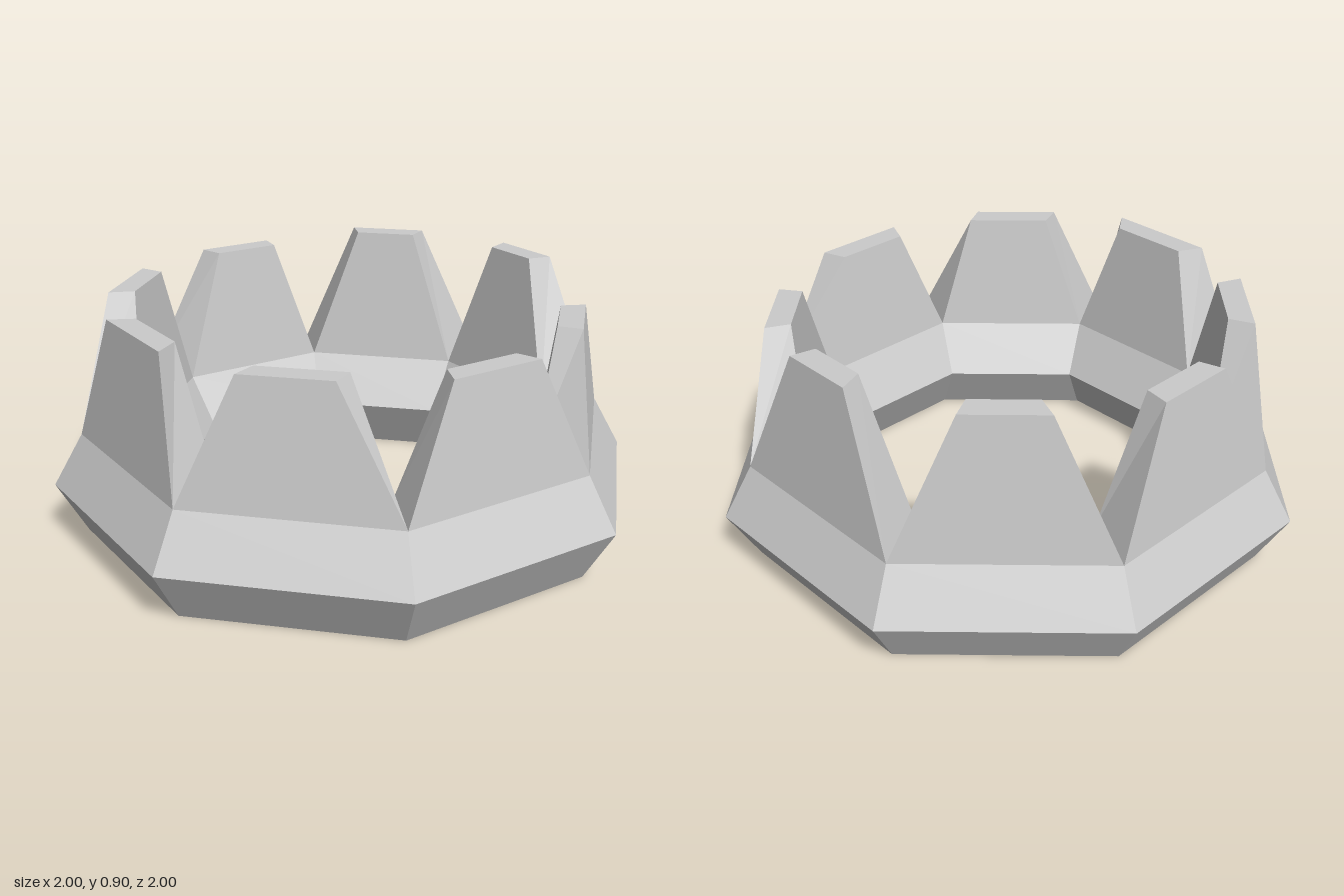
import * as THREE from 'three';

const T = Math.tan(Math.PI / 8); // half side length of an octagon per unit of apothem

// One tapered tooth: +z is outward, x runs along the rim; open underneath
function toothGeometry(height, outerA, outerB, innerA, innerB) {
  const rim = 0.38, out = 0.9, inn = 0.7, topOut = 0.845, topIn = 0.757;
  const corners = [
    [-out * T, rim, out], [out * T, rim, out], [inn * T, rim, inn], [-inn * T, rim, inn],
    [outerA, height, topOut], [outerB, height, topOut], [innerB, height, topIn], [innerA, height, topIn],
  ];
  const index = [4, 5, 6, 4, 6, 7];
  for (let i = 0; i < 4; i++) {
    const j = (i + 1) % 4;
    index.push(i, j, j + 4, i, j + 4, i + 4);
  }
  const geometry = new THREE.BufferGeometry();
  geometry.setAttribute('position', new THREE.Float32BufferAttribute(corners.flat(), 3));
  geometry.setIndex(index);
  const flat = geometry.toNonIndexed();
  flat.computeVertexNormals();
  return flat;
}

export function createModel() {
  const group = new THREE.Group();
  const material = new THREE.MeshStandardMaterial({ color: 0xcccccc, flatShading: true });

  // Octagonal ring, bevelled inside and out (apothem, y), open under the teeth
  const profile = [[0.7, 0.38], [0.6, 0.19], [0.7, 0], [0.9, 0], [1, 0.19], [0.9, 0.38]]
    .map(([a, y]) => new THREE.Vector2(a / Math.cos(Math.PI / 8), y));
  const ring = new THREE.Mesh(new THREE.LatheGeometry(profile, 8, Math.PI / 8), material);
  ring.name = 'ring';
  group.add(ring);

  // Uneven teeth, from the front round by the left:
  // height, outer top edge start/end, inner top edge start/end
  const teeth = [
    [0.825, -0.175, 0.14, -0.14, 0.165],
    [0.81, -0.17, 0.18, -0.13, 0.15],
    [0.815, -0.14, 0.16, -0.125, 0.13],
    [0.9, -0.135, 0.14, -0.115, 0.105],
    [0.9, -0.145, 0.145, -0.12, 0.11],
    [0.86, -0.15, 0.145, -0.135, 0.12],
    [0.855, -0.18, 0.17, -0.145, 0.135],
    [0.845, -0.2, 0.21, -0.155, 0.145],
  ];
  teeth.forEach((size, i) => {
    const tooth = new THREE.Mesh(toothGeometry(...size), material);
    tooth.name = `tooth${i + 1}`;
    tooth.rotation.y = i * Math.PI / 4;
    group.add(tooth);
  });
  return group;
}
